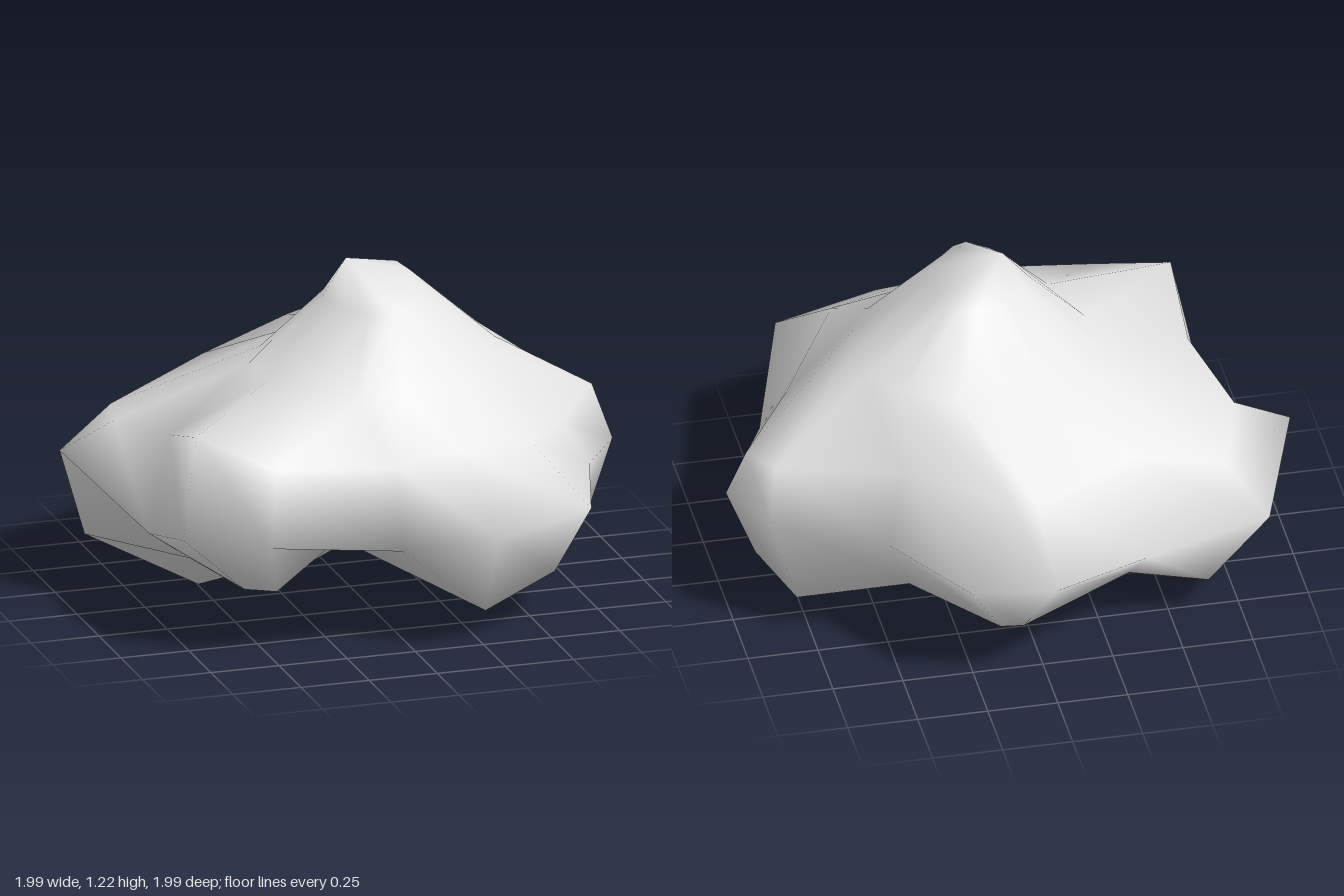
import * as THREE from 'three';

// Fifteen columns around the rock, clockwise from the back, each with an
// upper, a rim and a lower point (x, y, z), then the height of the base
const COLUMNS = [
  // back lobe and valley
  [0.04, 0.73, -0.84, 0, 0.47, -1, 0.09, 0.24, -0.85, 0.15],
  [0.13, 0.75, -0.85, 0.29, 0.45, -0.93, 0.17, 0.24, -0.84, 0.16],
  [0.45, 0.7, -0.5, 0.51, 0.45, -0.57, 0.42, 0.22, -0.48, 0.17],
  // left lobe and valley
  [0.85, 0.62, -0.26, 0.9, 0.5, -0.41, 0.8, 0.15, -0.38, 0.08],
  [0.93, 0.61, -0.13, 0.99, 0.42, -0.08, 0.88, 0.14, -0.05, 0.07],
  [0.71, 0.61, 0.22, 0.8, 0.45, 0.25, 0.73, 0.3, 0.26, 0.16],
  // front left lobe and valley
  [0.47, 0.68, 0.6, 0.62, 0.49, 0.83, 0.57, 0.18, 0.57, 0.18],
  [0.19, 0.69, 0.68, 0.23, 0.47, 0.99, 0.28, 0.1, 0.68, 0.19],
  [-0.04, 0.65, 0.66, -0.04, 0.37, 0.74, -0.15, 0.29, 0.28, 0.24],
  // front right lobe and valley
  [-0.48, 0.69, 0.67, -0.54, 0.45, 0.8, -0.46, 0.22, 0.6, 0.22],
  [-0.72, 0.78, 0.49, -0.8, 0.44, 0.59, -0.56, 0.22, 0.54, 0.19],
  [-0.71, 0.68, 0.15, -0.79, 0.33, 0.17, -0.62, 0.2, 0.1, 0.12],
  // right lobe and valley
  [-0.8, 0.63, -0.2, -1, 0.54, -0.2, -0.87, 0.18, -0.32, 0],
  [-0.71, 0.58, -0.52, -0.84, 0.41, -0.61, -0.63, 0.15, -0.57, 0.06],
  [-0.35, 0.71, -0.58, -0.39, 0.34, -0.67, -0.34, 0.24, -0.6, 0.12],
];

// Closed curves through one point above each lobe, back lobe first
const loop = (points) =>
  new THREE.CatmullRomCurve3(points.map((p) => new THREE.Vector3(...p)), true);
const CROWN = loop([
  [0.05, 1.11, -0.15], [0.22, 1.13, -0.15], [0.19, 1.1, 0.17], [0.05, 1.09, 0.31], [-0.12, 1.09, 0.05],
]);
const SHOULDER = loop([
  [0.05, 0.87, -0.39], [0.51, 0.88, -0.14], [0.4, 0.85, 0.32], [-0.13, 0.85, 0.48], [-0.35, 0.84, -0.06],
]);

// The rings of one column from crown to base
function columnPoints([ux, uy, uz, x, y, z, lx, ly, lz, baseY], i) {
  const t = i / COLUMNS.length;
  return [
    CROWN.getPoint(t).toArray(),
    SHOULDER.getPoint(t).toArray(),
    [ux, uy, uz],
    [x, y, z],
    [lx, ly, lz],
    [lx * 0.57, baseY, lz * 0.57],
  ];
}

function rockGeometry() {
  const columns = COLUMNS.map(columnPoints);
  const n = columns.length, rings = columns[0].length;
  const positions = [], index = [];
  for (let r = 0; r < rings; r++) for (const c of columns) positions.push(...c[r]);
  // peak and hollow underside
  const top = n * rings, bottom = top + 1;
  positions.push(-0.02, 1.22, 0.02, 0.04, 0.2, 0.02);

  for (let i = 0; i < n; i++) {
    const j = (i + 1) % n;
    index.push(top, j, i);
    for (let r = 0; r < rings - 1; r++) {
      const a = r * n, b = a + n;
      index.push(a + i, a + j, b + i, a + j, b + j, b + i);
    }
    const last = (rings - 1) * n;
    index.push(last + i, last + j, bottom);
  }

  const geometry = new THREE.BufferGeometry();
  geometry.setAttribute('position', new THREE.Float32BufferAttribute(positions, 3));
  geometry.setIndex(index);
  geometry.computeVertexNormals();
  return geometry;
}

export function createModel() {
  const stone = new THREE.MeshStandardMaterial({ color: 0xe7e7e7 });
  stone.name = 'pale grey stone';
  const rock = new THREE.Mesh(rockGeometry(), stone);
  rock.name = 'lobedRock';
  const group = new THREE.Group();
  group.name = 'rock';
  group.add(rock);
  return group;
}
